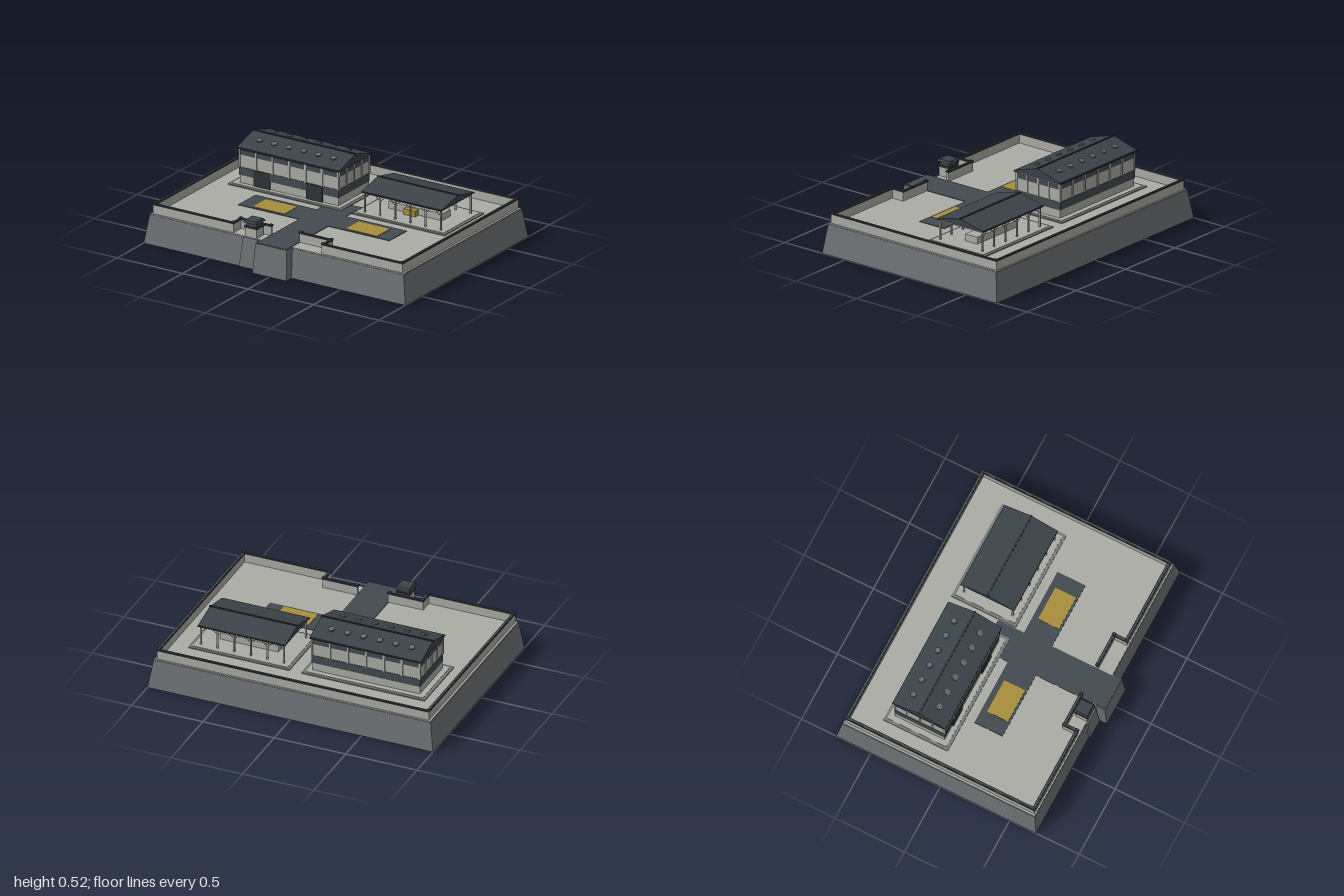
import * as THREE from 'three';

const mat = (name, color) => {
  const m = new THREE.MeshStandardMaterial({ color });
  m.name = name;
  return m;
};

export function createModel() {
  const stone = mat('rampart grey', 0x6e7274);
  const pale = mat('pale concrete', 0xacaca7);
  const slate = mat('slate', 0x434b50);
  const roofMat = mat('roof slate', 0x3b4349);
  const dark = mat('dark trim', 0x2f3337);
  const rim = mat('kerb grey', 0x777a7a);
  const vent = mat('vent grey', 0x63696c);
  const yellow = mat('ochre', 0xa88f3c);

  const model = new THREE.Group();
  model.name = 'compound';
  const group = (name) => {
    const g = new THREE.Group();
    g.name = name;
    model.add(g);
    return g;
  };
  const add = (parent, name, geo, material) => {
    const m = new THREE.Mesh(geo, material);
    m.name = name;
    parent.add(m);
    return m;
  };
  // Box given by its extents on each axis
  const box = (parent, name, material, x0, x1, y0, y1, z0, z1) => {
    const m = add(parent, name, new THREE.BoxGeometry(x1 - x0, y1 - y0, z1 - z0), material);
    m.position.set((x0 + x1) / 2, (y0 + y1) / 2, (z0 + z1) / 2);
    return m;
  };
  // Box whose upper face is [x0, x1, z0, z1] = top
  const battered = (parent, name, material, bottom, top, y0, y1) => {
    const geo = new THREE.BoxGeometry(1, 1, 1).toNonIndexed();
    const p = geo.attributes.position;
    for (let i = 0; i < p.count; i++) {
      const up = p.getY(i) > 0;
      const e = up ? top : bottom;
      p.setXYZ(i, p.getX(i) < 0 ? e[0] : e[1], up ? y1 : y0, p.getZ(i) < 0 ? e[2] : e[3]);
    }
    geo.computeVertexNormals();
    return add(parent, name, geo, material);
  };
  // Gabled roof with its ridge along x
  const gable = (parent, name, x0, x1, zMid, half, y, rise, edge) => {
    const s = new THREE.Shape();
    s.moveTo(-half, 0);
    s.lineTo(half, 0);
    s.lineTo(half, edge);
    s.lineTo(0, rise);
    s.lineTo(-half, edge);
    s.closePath();
    const geo = new THREE.ExtrudeGeometry(s, { depth: x1 - x0, bevelEnabled: false });
    geo.rotateY(Math.PI / 2);
    add(parent, name, geo, roofMat).position.set(x0, y, zMid);
    box(parent, 'ridgeCap', dark, x0 - 0.003, x1 + 0.003, y + rise - 0.005, y + rise + 0.004, zMid - 0.006, zMid + 0.006);
    for (const s2 of [-1, 1])
      box(parent, 'gutter', dark, x0, x1, y - 0.003, y + 0.004, zMid + s2 * half - 0.004, zMid + s2 * half + 0.004);
  };

  // Sloped base and yard
  const base = group('base');
  battered(base, 'rampart', stone, [-1, 1, -0.75, 0.69], [-0.97, 0.97, -0.72, 0.665], 0, 0.195);
  battered(base, 'gateRampart', stone, [-0.13, 0.13, 0.5, 0.75], [-0.12, 0.12, 0.5, 0.73], 0, 0.2);
  battered(base, 'boothPier', stone, [-0.265, -0.13, 0.5, 0.7], [-0.25, -0.14, 0.5, 0.675], 0.002, 0.2);
  box(base, 'yard', pale, -0.967, 0.967, 0.19, 0.201, -0.717, 0.662);

  // Road and painted bays
  const road = group('road');
  box(road, 'mainRoad', slate, -0.112, 0.112, 0.199, 0.205, -0.16, 0.728);
  for (const s of [-1, 1]) {
    const span = (a, b) => (s > 0 ? [a, b] : [-b, -a]);
    box(road, 'sideRoad', slate, ...span(0.112, 0.578), 0.199, 0.205, 0.027, 0.23);
    box(road, 'ochreBay', yellow, ...span(0.235, 0.475), 0.203, 0.208, 0.065, 0.215);
  }

  // Perimeter wall with dark coping, stepping back at the gate
  const wall = group('perimeterWall');
  const corners = [[0.115, 0.555], [0.345, 0.555], [0.345, 0.645], [0.945, 0.645], [0.945, -0.7], [0, -0.7]];
  for (const s of [-1, 1]) {
    for (let i = 0; i + 1 < corners.length; i++) {
      const [ax, az] = corners[i];
      const [bx, bz] = corners[i + 1];
      const x0 = Math.min(s * ax, s * bx), x1 = Math.max(s * ax, s * bx);
      const z0 = Math.min(az, bz), z1 = Math.max(az, bz);
      const w = 0.008, c = 0.011;
      box(wall, 'wallRun', pale, x0 - w, x1 + w, 0.2, 0.262, z0 - w, z1 + w);
      box(wall, 'coping', dark, x0 - c, x1 + c, 0.26, 0.268, z0 - c, z1 + c);
      box(wall, 'copingTop', slate, x0 - 0.006, x1 + 0.006, 0.268, 0.271, z0 - 0.006, z1 + 0.006);
    }
    for (const [x, z] of corners.slice(0, 5))
      box(wall, 'wallPost', dark, s * x - 0.012, s * x + 0.012, 0.262, 0.274, z - 0.012, z + 0.012);
  }

  // Raised pads with a kerb line
  const pads = group('pads');
  for (const [x0, x1] of [[-0.83, 0.032], [0.118, 0.825]]) {
    box(pads, 'kerb', rim, x0, x1, 0.2, 0.208, -0.5, -0.035);
    box(pads, 'padFloor', pale, x0 + 0.02, x1 - 0.02, 0.2, 0.211, -0.48, -0.055);
  }

  // Main hall
  const hall = group('hall');
  const hx0 = -0.772, hx1 = -0.018, hz0 = -0.443, hz1 = -0.087;
  box(hall, 'walls', pale, hx0, hx1, 0.2, 0.45, hz0, hz1);
  const e = 0.003;
  box(hall, 'darkBand', slate, hx0 - e, hx1 + e, 0.265, 0.32, hz0 - e, hz1 + e);
  box(hall, 'windowStrip', slate, hx0 - e, hx1 + e, 0.405, 0.438, hz0 - e, hz1 + e);
  for (let i = 0; i <= 6; i++) {
    const x = hx0 + ((hx1 - hx0) * i) / 6;
    for (const z of [hz0, hz1])
      box(hall, 'pilaster', pale, x - 0.006, x + 0.006, 0.32, 0.45, z - 0.007, z + 0.007);
  }
  for (const x of [hx0, hx1])
    for (let i = 1; i < 4; i++) {
      const z = hz0 + ((hz1 - hz0) * i) / 4;
      box(hall, 'endPilaster', pale, x - 0.006, x + 0.006, 0.32, 0.45, z - 0.005, z + 0.005);
    }
  for (const x of [-0.6, -0.2])
    box(hall, 'door', dark, x - 0.062, x + 0.062, 0.21, 0.318, hz1, hz1 + 0.008);
  gable(hall, 'hallRoof', -0.785, -0.005, -0.265, 0.19, 0.449, 0.063, 0.008);
  for (let i = 0; i < 6; i++)
    for (const s of [-1, 1]) {
      const v = add(hall, 'roofVent', new THREE.CylinderGeometry(0.02, 0.02, 0.014, 12), vent);
      v.position.set(-0.679 + i * 0.1128, 0.488, -0.267 + s * 0.091);
      v.rotation.x = s * 0.28;
    }

  // Open shed on posts
  const shed = group('shed');
  gable(shed, 'shedRoof', 0.165, 0.778, -0.265, 0.19, 0.35, 0.047, 0.006);
  for (const z of [-0.44, -0.09]) {
    box(shed, 'eaveBeam', pale, 0.175, 0.768, 0.338, 0.35, z - 0.005, z + 0.005);
    for (let i = 0; i < 6; i++) {
      const x = 0.182 + i * 0.116;
      box(shed, 'post', pale, x - 0.005, x + 0.005, 0.2, 0.345, z - 0.005, z + 0.005);
      for (const s of [-1, 1]) {
        if ((i === 0 && s < 0) || (i === 5 && s > 0)) continue;
        const b = add(shed, 'brace', new THREE.BoxGeometry(0.004, 0.05, 0.004), pale);
        b.position.set(x + s * 0.019, 0.323, z);
        b.rotation.z = -s * 0.85;
      }
    }
  }
  for (const x of [0.182, 0.762])
    box(shed, 'endBeam', pale, x - 0.005, x + 0.005, 0.338, 0.35, -0.44, -0.09);
  box(shed, 'bench', pale, 0.27, 0.68, 0.208, 0.258, -0.33, -0.23);
  box(shed, 'ochreCrate', yellow, 0.41, 0.5, 0.208, 0.25, -0.23, -0.19);

  // Guard booth beside the gate
  const booth = group('guardBooth');
  box(booth, 'boothWalls', pale, -0.24, -0.155, 0.2, 0.268, 0.582, 0.665);
  box(booth, 'boothSill', dark, -0.246, -0.149, 0.264, 0.276, 0.576, 0.671);
  box(booth, 'boothWindows', slate, -0.236, -0.159, 0.276, 0.3, 0.586, 0.661);
  battered(booth, 'boothRoof', roofMat, [-0.252, -0.146, 0.568, 0.677], [-0.242, -0.156, 0.578, 0.667], 0.3, 0.315);

  return model;
}
